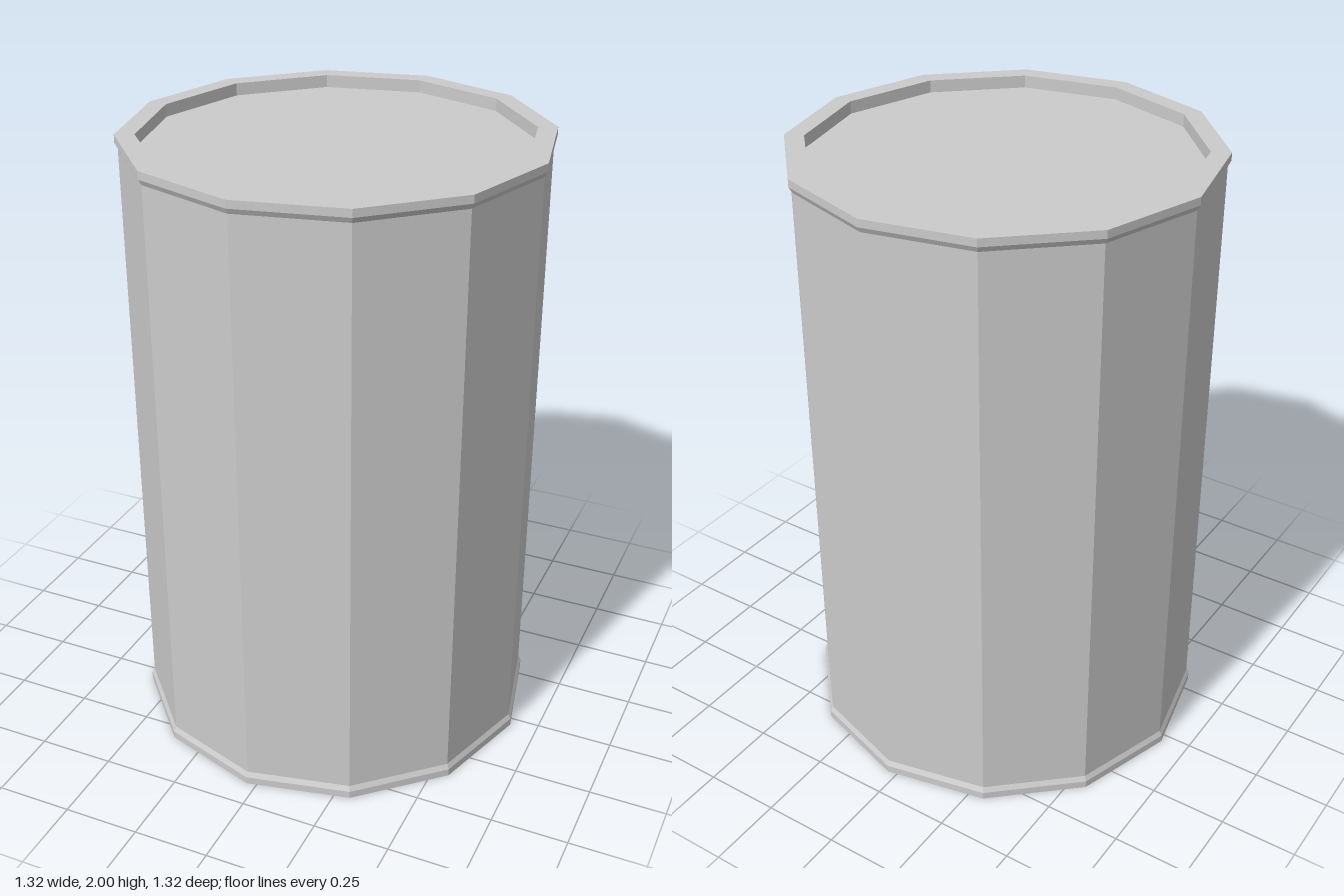
import * as THREE from 'three';

const SIDES = 12;
const TWIST = -0.05; // small turn of the twelve-sided section about y

const material = new THREE.MeshStandardMaterial({ color: 0xcccccc, flatShading: true });

// Turned part from [radius, y] points, running up the outside
function turned(name, points) {
  const profile = points.map(([r, y]) => new THREE.Vector2(r, y));
  const mesh = new THREE.Mesh(new THREE.LatheGeometry(profile, SIDES, TWIST, Math.PI * 2), material);
  mesh.name = name;
  return mesh;
}

export function createModel() {
  const barrel = new THREE.Group();
  barrel.name = 'barrel';

  const height = 2, body = 0.652, rim = 0.661, inner = 0.6;
  const lip = 0.025, flare = 0.042, recess = 0.04;

  // Straight wall
  barrel.add(turned('wall', [[body, flare], [body, height - flare]]));

  // Raised rims, with a short bevel down to the wall and an inner face down to the lid
  const rimProfile = [[inner, recess], [inner, 0], [rim, 0], [rim, lip], [body, flare]];
  const lidProfile = [[0, recess], [inner, recess]];
  const flip = (points) => points.map(([r, y]) => [r, height - y]).reverse();

  barrel.add(turned('bottomRim', rimProfile), turned('topRim', flip(rimProfile)));

  // Recessed end discs
  barrel.add(turned('base', lidProfile), turned('lid', flip(lidProfile)));

  return barrel;
}
